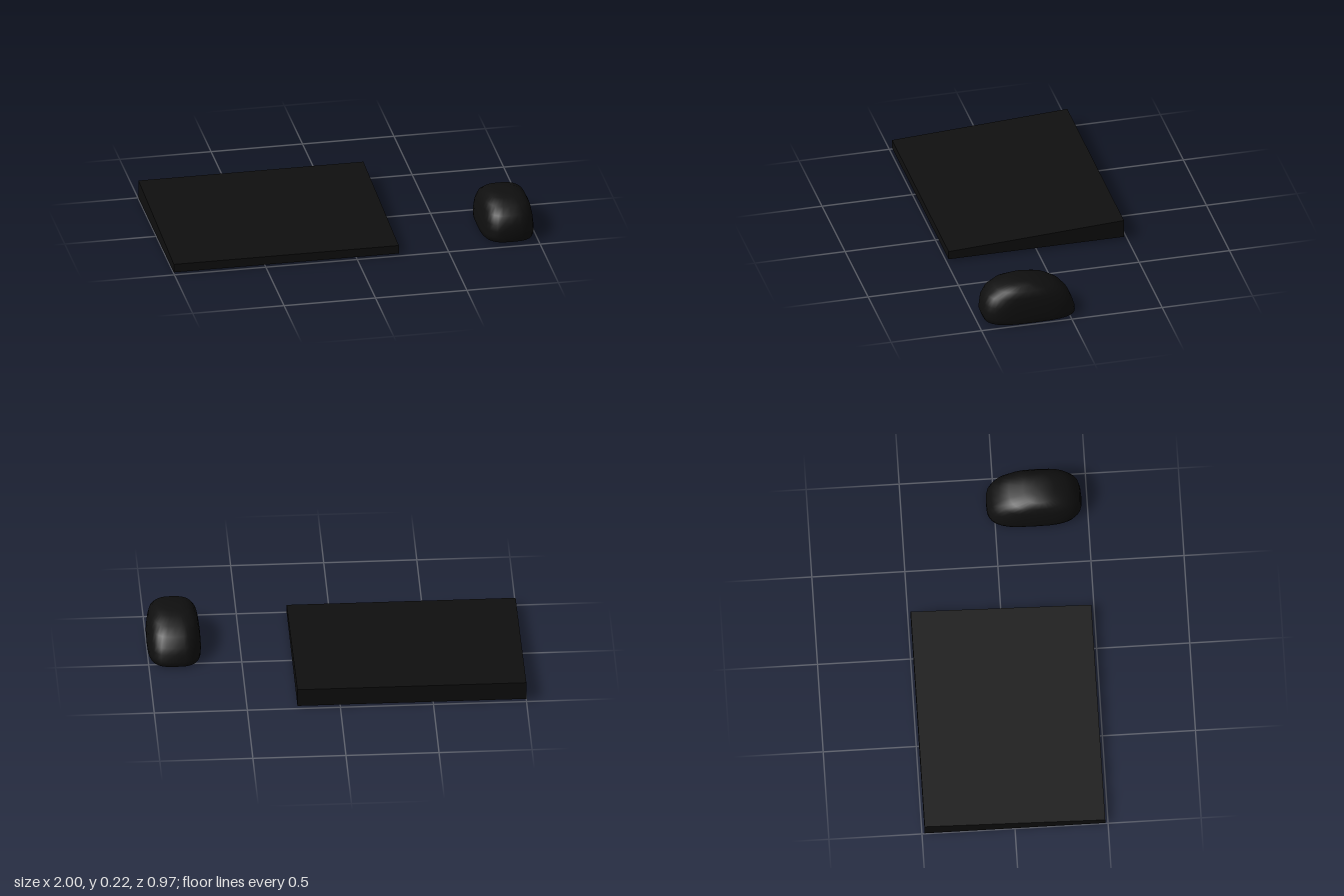
import * as THREE from 'three';

const material = new THREE.MeshStandardMaterial({ color: 0x0f0f0f });

// Wedge: side profile (z, y) extruded across the width
function createKeyboard() {
  const left = -1, width = 1.23;
  const profile = new THREE.Shape([
    new THREE.Vector2(-0.485, 0.008),
    new THREE.Vector2(0.485, 0.008),
    new THREE.Vector2(0.485, 0.055),
    new THREE.Vector2(-0.485, 0.109),
  ]);
  const geometry = new THREE.ExtrudeGeometry(profile, { depth: width, bevelEnabled: false });
  geometry.rotateY(-Math.PI / 2); // profile x becomes z, extrusion runs to -x
  geometry.translate(left + width, 0, 0);
  const mesh = new THREE.Mesh(geometry, material);
  mesh.name = 'keyboard';
  return mesh;
}

// Domed shell: stacked rounded-rectangle rings, closed at the top and bottom centres
function createMouse() {
  const centreX = 0.855, segments = 32;
  // y, half width, back z, front z, squareness
  const rings = [
    [0.000, 0.100, 0.06, 0.36, 3],
    [0.003, 0.130, -0.01, 0.43, 3.2],
    [0.008, 0.143, -0.043, 0.460, 3.2],
    [0.035, 0.145, -0.041, 0.470, 3.2],
    [0.070, 0.143, -0.030, 0.467, 3.2],
    [0.105, 0.139, -0.015, 0.462, 3.2],
    [0.153, 0.130, 0.025, 0.440, 3],
    [0.187, 0.114, 0.080, 0.395, 2.8],
    [0.208, 0.085, 0.155, 0.325, 2.4],
    [0.213, 0.045, 0.200, 0.280, 2.2],
  ];
  const positions = [], index = [];
  const power = (v, n) => Math.sign(v) * Math.abs(v) ** (2 / n);
  for (const [y, halfX, back, front, n] of rings) {
    for (let i = 0; i < segments; i++) {
      const a = (i / segments) * Math.PI * 2;
      positions.push(
        centreX + halfX * power(Math.sin(a), n),
        y,
        (front + back) / 2 + ((front - back) / 2) * power(Math.cos(a), n),
      );
    }
  }
  const bottom = rings.length * segments, top = bottom + 1;
  positions.push(centreX, 0, 0.21, centreX, 0.215, 0.24);
  const last = (rings.length - 1) * segments;
  for (let i = 0; i < segments; i++) {
    const j = (i + 1) % segments;
    for (let r = 0; r < last; r += segments) {
      index.push(r + i, r + j, r + segments + j, r + i, r + segments + j, r + segments + i);
    }
    index.push(bottom, j, i, top, last + i, last + j);
  }
  const geometry = new THREE.BufferGeometry();
  geometry.setAttribute('position', new THREE.Float32BufferAttribute(positions, 3));
  geometry.setIndex(index);
  geometry.computeVertexNormals();
  const mesh = new THREE.Mesh(geometry, material);
  mesh.name = 'mouse';
  return mesh;
}

export function createModel() {
  const model = new THREE.Group();
  model.name = 'keyboardAndMouse';
  model.add(createKeyboard(), createMouse());
  return model;
}
